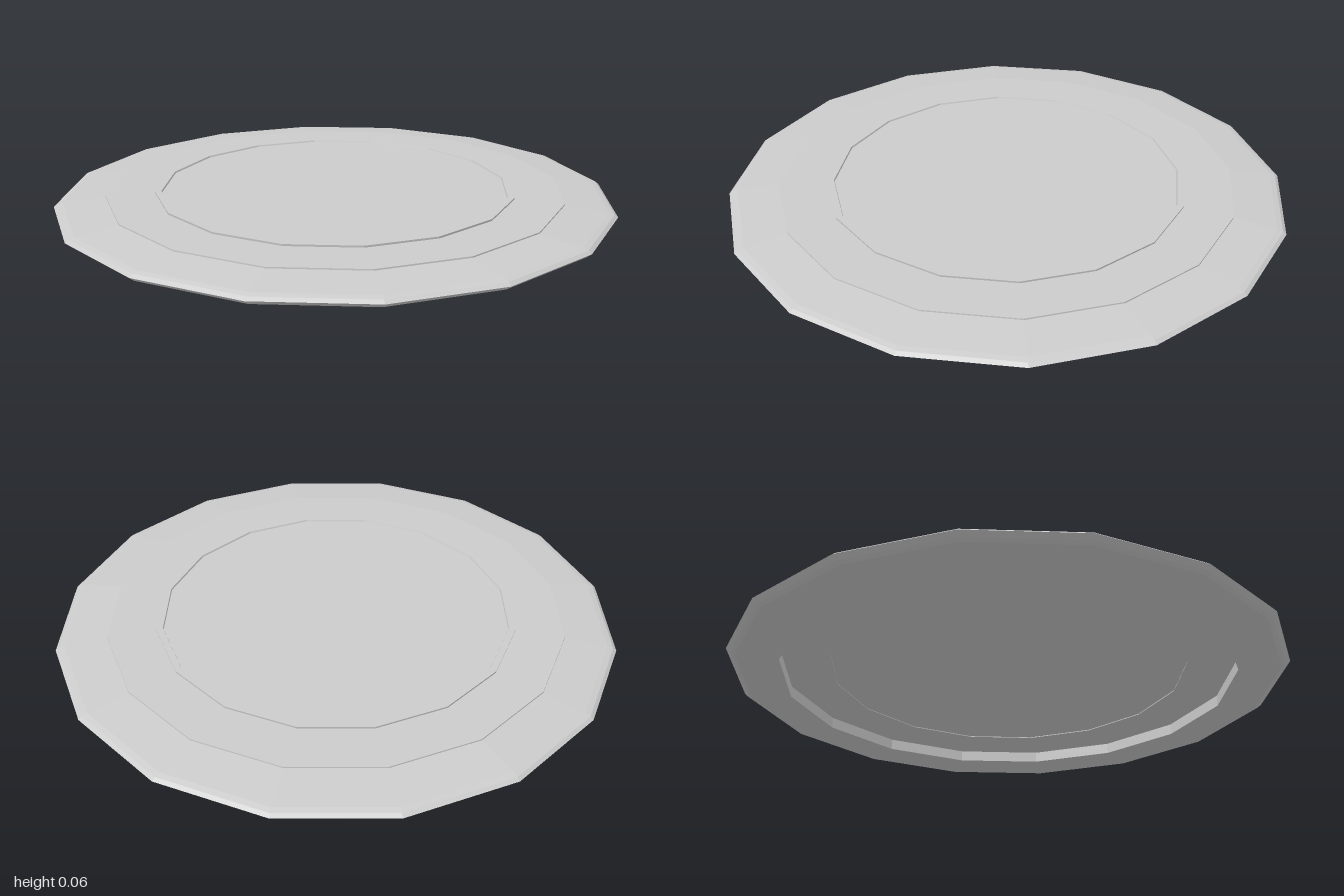
import * as THREE from 'three';

const SIDES = 16;
const TURN = Math.PI / SIDES - 0.015; // the polygon sits slightly turned

export function createModel() {
  const group = new THREE.Group();
  const material = new THREE.MeshStandardMaterial({
    color: 0xcccccc, flatShading: true, side: THREE.DoubleSide,
  });

  // Profiles run counterclockwise as [radius, height]
  const addTurned = (name, profile) => {
    const points = profile.map(([r, y]) => new THREE.Vector2(r, y));
    const mesh = new THREE.Mesh(new THREE.LatheGeometry(points, SIDES, TURN), material);
    mesh.name = name;
    group.add(mesh);
  };

  // Bevelled outer rim, open in the middle
  addTurned('outerRim', [
    [0.833, 0.003], [0.833, 0], [0.985, 0], [1.0, 0.008], [1.017, 0.022],
    [1.005, 0.032], [0.985, 0.037], [0.833, 0.051], [0.833, 0.003],
  ]);

  // Thin raised step, recessed underneath
  addTurned('middleRing', [
    [0.655, 0.042], [0.833, 0.042], [0.833, 0.056], [0.655, 0.058], [0.655, 0.042],
  ]);

  // Centre plate with a narrow raised lip
  addTurned('centrePlate', [
    [0, 0.045], [0.655, 0.045], [0.658, 0.065], [0.634, 0.065], [0.632, 0.059], [0, 0.059],
  ]);

  return group;
}
